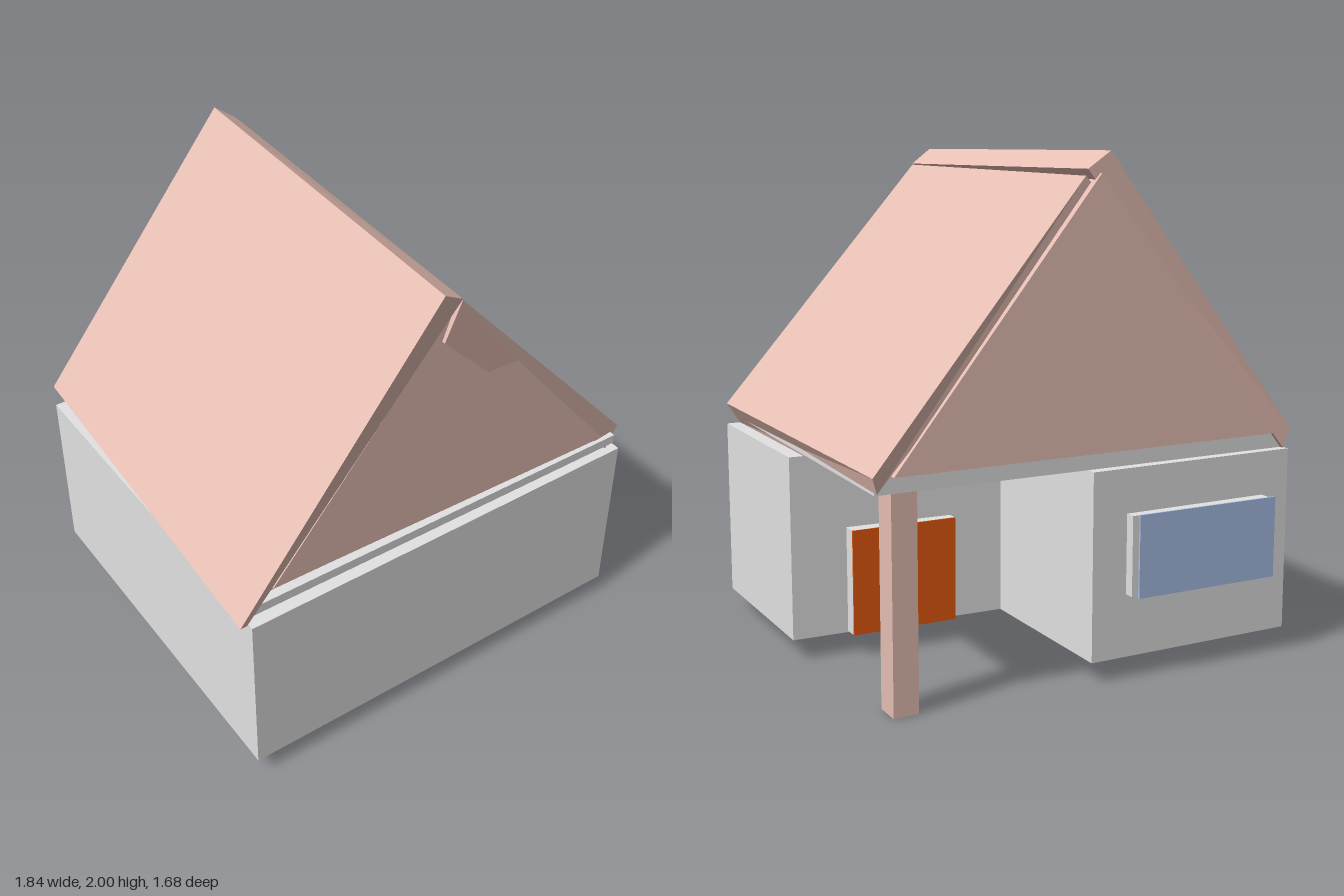
import * as THREE from 'three';

const mat = (name, color) => {
  const m = new THREE.MeshStandardMaterial({ color });
  m.name = name;
  return m;
};

// Solid between two convex loops, each counterclockwise as seen from the front
function loft(front, back) {
  const pos = [], n = front.length;
  const tri = (a, b, c) => pos.push(...a, ...b, ...c);
  for (let i = 0; i < n; i++) {
    const j = (i + 1) % n;
    tri(front[i], back[i], back[j]);
    tri(front[i], back[j], front[j]);
  }
  for (let i = 1; i < n - 1; i++) {
    tri(front[0], front[i], front[i + 1]);
    tri(back[0], back[i + 1], back[i]);
  }
  const g = new THREE.BufferGeometry();
  g.setAttribute('position', new THREE.Float32BufferAttribute(pos, 3));
  g.computeVertexNormals();
  return g;
}

// Box from its minimum and maximum corners
function box(x0, x1, y0, y1, z0, z1) {
  return new THREE.BoxGeometry(x1 - x0, y1 - y0, z1 - z0)
    .translate((x0 + x1) / 2, (y0 + y1) / 2, (z0 + z1) / 2);
}

export function createModel() {
  const house = new THREE.Group();
  house.name = 'house';
  const plaster = mat('plaster grey', 0xe2e2e2);
  const clay = mat('clay pink', 0xe6beb3);
  const orange = mat('door orange', 0xe85a0d);
  const glass = mat('window blue', 0xa8c0e6);
  const add = (name, geometry, material) => {
    const m = new THREE.Mesh(geometry, material);
    m.name = name;
    house.add(m);
  };

  // L-shaped walls, slightly out of square, with an open porch corner
  const plan = [[-0.875, 0.81], [0.91, 0.77], [0.91, -0.01], [0, -0.04], [0, -0.78], [-0.91, -0.77]];
  const shape = new THREE.Shape(plan.map(([x, z]) => new THREE.Vector2(x, -z)));
  const walls = new THREE.ExtrudeGeometry(shape, { depth: 0.74, bevelEnabled: false });
  add('walls', walls.rotateX(-Math.PI / 2).translate(0, 0.085, 0), plaster);

  // Ceiling slab, also covering the porch
  add('ceiling', loft(
    [[-0.87, 0.865, 0.79], [0.88, 0.865, 0.765], [0.88, 0.905, 0.765], [-0.87, 0.905, 0.79]],
    [[-0.87, 0.835, -0.77], [0.88, 0.835, -0.78], [0.88, 0.9, -0.78], [-0.87, 0.9, -0.77]],
  ), plaster);

  // Attic body and the gable panel standing proud of its front
  add('attic', loft(
    [[-0.83, 0.906, 0.75], [0.8, 0.906, 0.74], [0, 1.86, 0.76]],
    [[-0.85, 0.9, -0.795], [0.82, 0.9, -0.815], [-0.03, 1.92, -0.765]],
  ), clay);
  add('frontGable', loft(
    [[-0.77, 0.955, 0.79], [0.78, 0.955, 0.79], [0, 1.89, 0.785]],
    [[-0.77, 0.97, 0.74], [0.78, 0.97, 0.73], [0, 1.89, 0.74]],
  ), clay);

  // Left roof slope, slightly twisted; its upper end forms the ridge
  add('leftRoof', loft(
    [[-0.92, 0.845, 0.805], [-0.89, 0.84, 0.8], [0, 1.93, 0.81], [-0.1, 1.995, 0.84]],
    [[-0.905, 0.915, -0.78], [-0.87, 0.835, -0.79], [0.02, 1.935, -0.75], [-0.07, 2, -0.76]],
  ), clay);

  // Right roof slope
  add('rightRoof', loft(
    [[0.86, 0.83, 0.745], [0.92, 0.92, 0.735], [0, 1.925, 0.81], [-0.06, 1.76, 0.8]],
    [[0.88, 0.845, -0.805], [0.9, 0.905, -0.815], [0.02, 1.91, -0.735], [-0.05, 1.84, -0.73]],
  ), clay);

  // Porch post
  add('porchPost', box(0.7, 0.8, 0, 0.85, -0.74, -0.63), clay);

  // Double door in the porch
  add('doorFrame', box(0.23, 0.68, 0.09, 0.52, -0.078, -0.01), plaster);
  for (const [i, x] of [0.23, 0.455].entries()) {
    add(i ? 'leftDoor' : 'rightDoor', box(x, x + (i ? 0.225 : 0.195), 0.09, 0.52, -0.082, -0.076), orange);
  }

  // Back window
  add('windowFrame', box(-0.785, -0.15, 0.335, 0.65, -0.82, -0.76), plaster);
  add('windowPane', box(-0.8, -0.17, 0.33, 0.655, -0.84, -0.832), glass);
  add('windowMount', box(-0.77, -0.2, 0.36, 0.63, -0.832, -0.81), plaster);

  return house;
}
